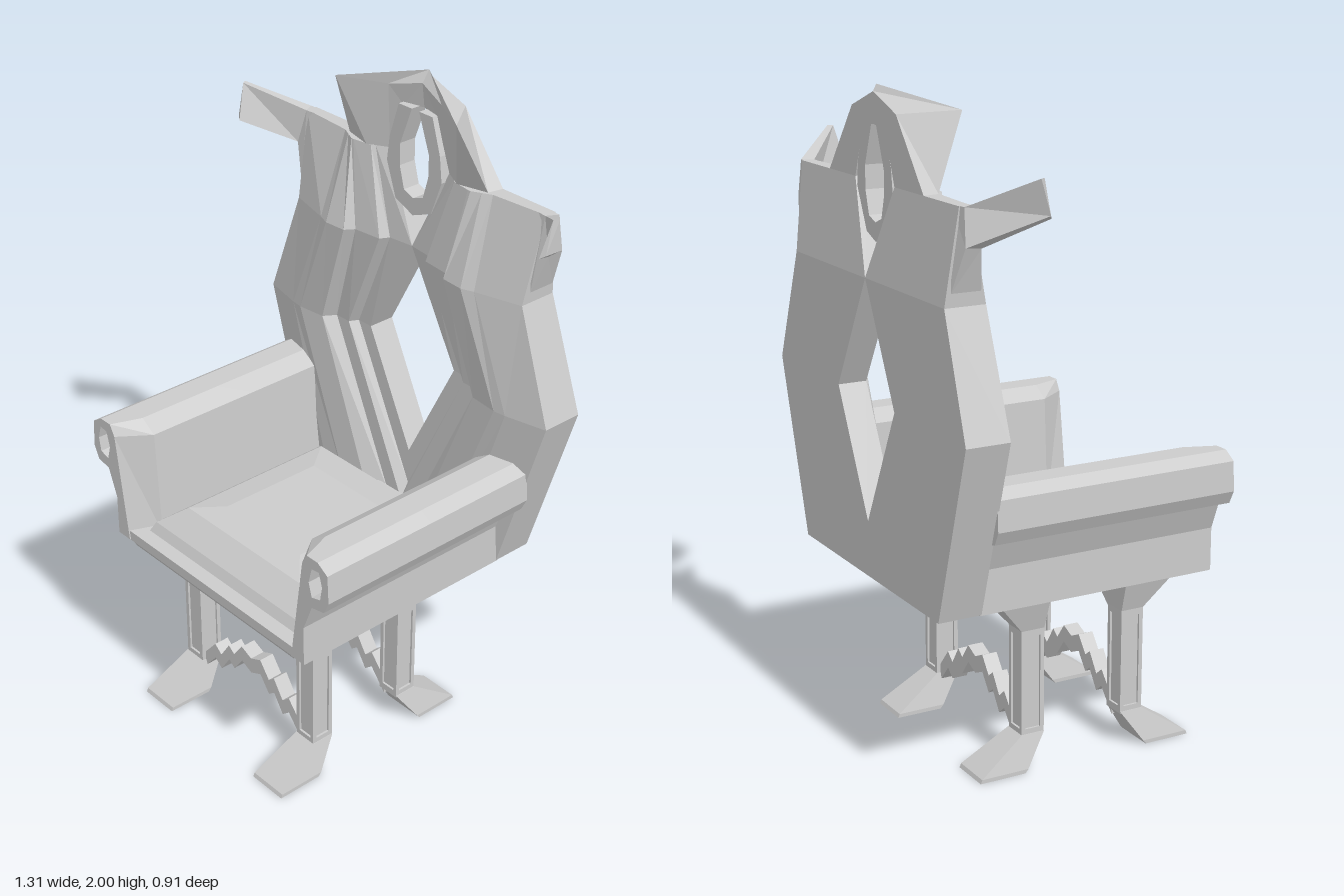
import * as THREE from 'three';

const material = new THREE.MeshStandardMaterial({ color: 0xcccccc, flatShading: true, side: THREE.DoubleSide });

// Turn every triangle of a closed solid outwards, judged by its signed volume
function orient(geo) {
  const g = geo.index ? geo.toNonIndexed() : geo;
  const p = g.attributes.position;
  const v = (i) => new THREE.Vector3().fromBufferAttribute(p, i);
  let volume = 0;
  for (let i = 0; i < p.count; i += 3) volume += v(i).dot(v(i + 1).cross(v(i + 2)));
  if (volume < 0) {
    for (let i = 0; i < p.count; i += 3) {
      const a = v(i), b = v(i + 1);
      p.setXYZ(i, b.x, b.y, b.z);
      p.setXYZ(i + 1, a.x, a.y, a.z);
    }
  }
  g.computeVertexNormals();
  return g;
}

// Closed solid through cross-sections that have equal point counts
function loft(rows) {
  const out = [];
  const n = rows[0].length;
  const tri = (a, b, c) => out.push(...a, ...b, ...c);
  for (let r = 0; r < rows.length - 1; r++) {
    for (let i = 0; i < n; i++) {
      const j = (i + 1) % n;
      tri(rows[r][i], rows[r][j], rows[r + 1][j]);
      tri(rows[r][i], rows[r + 1][j], rows[r + 1][i]);
    }
  }
  const last = rows[rows.length - 1];
  const caps = THREE.ShapeUtils;
  for (const [row, flip] of [[rows[0], true], [last, false]]) {
    // Triangulate in the plane where the section spreads most
    const span = [0, 1, 2].map((k) => Math.max(...row.map((q) => q[k])) - Math.min(...row.map((q) => q[k])));
    const drop = span.indexOf(Math.min(...span));
    const axes = [0, 1, 2].filter((k) => k !== drop);
    const flat = row.map((q) => new THREE.Vector2(q[axes[0]], q[axes[1]]));
    const sameTurn = (caps.area(flat) > 0);
    for (const [a, b, c] of caps.triangulateShape(flat, [])) {
      const keep = sameTurn !== flip;
      keep === sameTurn ? tri(row[a], row[b], row[c]) : tri(row[a], row[c], row[b]);
    }
  }
  const g = new THREE.BufferGeometry();
  g.setAttribute('position', new THREE.Float32BufferAttribute(out, 3));
  return orient(g);
}

const rect = (x0, x1, z0, z1, y) => [[x0, y, z0], [x1, y, z0], [x1, y, z1], [x0, y, z1]];
const shapeOf = (pts) => new THREE.Shape(pts.map(([x, y]) => new THREE.Vector2(x, y)));

function extrude(shape, z0, z1, steps = 1) {
  return new THREE.ExtrudeGeometry(shape, { depth: z1 - z0, steps, bevelEnabled: false }).translate(0, 0, z0);
}

export function createModel() {
  const model = new THREE.Group();
  const add = (name, geo, parent = model) => {
    const mesh = new THREE.Mesh(geo, material);
    mesh.name = name;
    parent.add(mesh);
  };
  const pair = (name, geo) => {
    add('left' + name, geo);
    add('right' + name, orient(geo.clone().scale(-1, 1, 1)));
  };

  // Seat: two-step base and a domed cushion
  add('seatUnderside', loft([rect(-0.375, 0.375, -0.31, 0.44, 0.545), rect(-0.39, 0.39, -0.31, 0.45, 0.568)]));
  add('seatBase', loft([rect(-0.44, 0.44, -0.32, 0.455, 0.568), rect(-0.44, 0.44, -0.32, 0.455, 0.6)]));
  add('cushion', loft([
    rect(-0.35, 0.35, -0.29, 0.41, 0.595), rect(-0.335, 0.335, -0.28, 0.39, 0.63),
    rect(-0.26, 0.26, -0.22, 0.32, 0.69), rect(-0.17, 0.17, -0.11, 0.24, 0.705),
  ]));

  // Arms: wall with a hollow scroll on top, chamfered inwards at the front
  const armShape = shapeOf([
    [0.345, 0.57], [0.44, 0.57], [0.44, 0.7], [0.475, 0.79], [0.525, 0.8], [0.545, 0.84],
    [0.54, 0.93], [0.5, 0.955], [0.42, 0.955], [0.365, 0.92],
  ]);
  armShape.holes.push(shapeOf([[0.475, 0.825], [0.462, 0.87], [0.475, 0.92], [0.505, 0.925], [0.518, 0.88], [0.51, 0.835]]));
  const arm = extrude(armShape, -0.32, 0.458, 8);
  const ap = arm.attributes.position;
  for (let i = 0; i < ap.count; i++) {
    if (ap.getZ(i) > 0.45 && ap.getX(i) < 0.43) {
      if (ap.getX(i) < 0.37) ap.setX(i, ap.getY(i) > 0.8 ? 0.435 : 0.385);
      else ap.setX(i, 0.455);
    }
  }
  pair('Arm', orient(arm));

  // Backrest half: stepped chevron ribs, from the central opening to the outer edge
  const rows = [
    { y: [0.74, 0.62, 0.57, 0.57, 0.57, 0.57, 0.57, 0.57], x: [0, 0, 0, 0.06, 0.12, 0.22, 0.3, 0.44],
      z: [-0.36, -0.36, -0.33, -0.33, -0.29, -0.28, -0.28, -0.315], back: -0.45 },
    { y: 1.11, x: [0.185, 0.24, 0.255, 0.31, 0.335, 0.43, 0.47, 0.605],
      z: [-0.36, -0.36, -0.33, -0.33, -0.29, -0.28, -0.285, -0.315], back: -0.45 },
    { y: 1.46, x: [0, 0.085, 0.1, 0.195, 0.215, 0.29, 0.33, 0.48],
      z: [-0.35, -0.34, -0.31, -0.3, -0.27, -0.265, -0.28, -0.32], back: -0.445 },
    { y: 1.73, x: [0.125, 0.165, 0.175, 0.24, 0.25, 0.28, 0.31, 0.5],
      z: [-0.37, -0.35, -0.34, -0.33, -0.33, -0.345, -0.36, -0.375], back: -0.41 },
  ];
  pair('Backrest', loft(rows.map(({ y, x, z, back }) => {
    const at = (i, depth) => [x[i], Array.isArray(y) ? y[i] : y, depth];
    return [...x.map((_, i) => at(i, z[i])), at(7, back), at(2, back), at(0, back)];
  })));

  // Horns sweeping out and forward from the upper corners
  pair('Horn', loft([
    [[0.46, 1.73, -0.41], [0.49, 1.5, -0.43], [0.49, 1.5, -0.34], [0.45, 1.73, -0.375]],
    [[0.52, 1.73, -0.405], [0.535, 1.625, -0.41], [0.53, 1.62, -0.36], [0.5, 1.73, -0.37]],
    [[0.655, 1.81, -0.255], [0.645, 1.71, -0.22], [0.63, 1.7, -0.21], [0.645, 1.81, -0.24]],
  ]));

  // Crown: arch over the upper opening with a forward flaring hood
  pair('Crown', loft([
    [[0.125, 1.73, -0.41], [0.125, 1.73, -0.37], [0.19, 1.73, -0.335], [0.29, 1.73, -0.36], [0.3, 1.73, -0.41]],
    [[0.07, 1.88, -0.41], [0.07, 1.88, -0.37], [0.11, 1.94, -0.345], [0.25, 1.945, -0.265], [0.14, 1.93, -0.41]],
    [[0, 1.89, -0.41], [0, 1.89, -0.385], [0, 1.965, -0.375], [0, 2, -0.4], [0, 1.98, -0.41]],
  ]));

  // U-shaped ornament hanging in the upper opening
  const outer = [[0.07, 1.89], [0.105, 1.78], [0.115, 1.7], [0.075, 1.59], [0, 1.56]];
  const inner = [[0, 1.615], [0.04, 1.63], [0.06, 1.7], [0.06, 1.77], [0.015, 1.89]];
  pair('Ornament', orient(extrude(shapeOf([...outer, ...inner]), -0.41, -0.35)));

  // Legs: flared head, panelled shaft and splayed foot
  for (const [row, cz, sz] of [['front', 0.272, 1], ['back', -0.072, -1]]) {
    for (const sx of [1, -1]) {
      const leg = new THREE.Group();
      leg.name = row + (sx > 0 ? 'Left' : 'Right') + 'Leg';
      leg.position.set(0.27 * sx, 0, cz);
      const box = (name, w, h, d, x, y, z) => add(name, new THREE.BoxGeometry(w, h, d).translate(x, y, z), leg);
      const flare = (name, parts) => add(name, loft(parts.map(([w, z0, z1, y]) => rect(-w, w, z0 * sz, z1 * sz, y))), leg);
      const s = 0.038;
      flare('legHead', [[s, -s, s, 0.435], [0.067, -0.042, 0.12, 0.53], [0.067, -0.042, 0.12, 0.547]]);
      flare('foot', [[0.066, 0.04, 0.19, 0], [0.066, 0.03, 0.185, 0.012], [0.04, -s, s, 0.11]]);
      box('shaftCore', 0.062, 0.33, 0.062, 0, 0.27, 0);
      for (const px of [-1, 1]) {
        for (const pz of [-1, 1]) box('shaftPost', 0.013, 0.33, 0.013, px * 0.0315, 0.27, pz * 0.0315);
      }
      box('shaftLowerBand', 0.076, 0.022, 0.076, 0, 0.115, 0);
      box('shaftUpperBand', 0.076, 0.022, 0.076, 0, 0.426, 0);
      model.add(leg);
    }

    // Stepped stretchers between the left and right legs
    const stretcher = (name, half, drop) => {
      const top = [...half, ...half.slice(0, -1).reverse().map(([x, y]) => [-x, y])];
      const low = top.map(([x, y]) => [x, y - drop]).reverse();
      add(row + name, orient(extrude(shapeOf([...top, ...low]), cz - 0.025, cz + 0.025)));
    };
    stretcher('UpperStretcher', [[-0.24, 0.445], [-0.16, 0.515], [-0.105, 0.505], [-0.05, 0.545], [0, 0.535]], 0.05);
    stretcher('LowerStretcher', [[-0.24, 0.13], [-0.18, 0.2], [-0.15, 0.175], [-0.11, 0.235], [-0.085, 0.215],
      [-0.045, 0.268], [0, 0.248]], 0.055);
  }

  return model;
}
